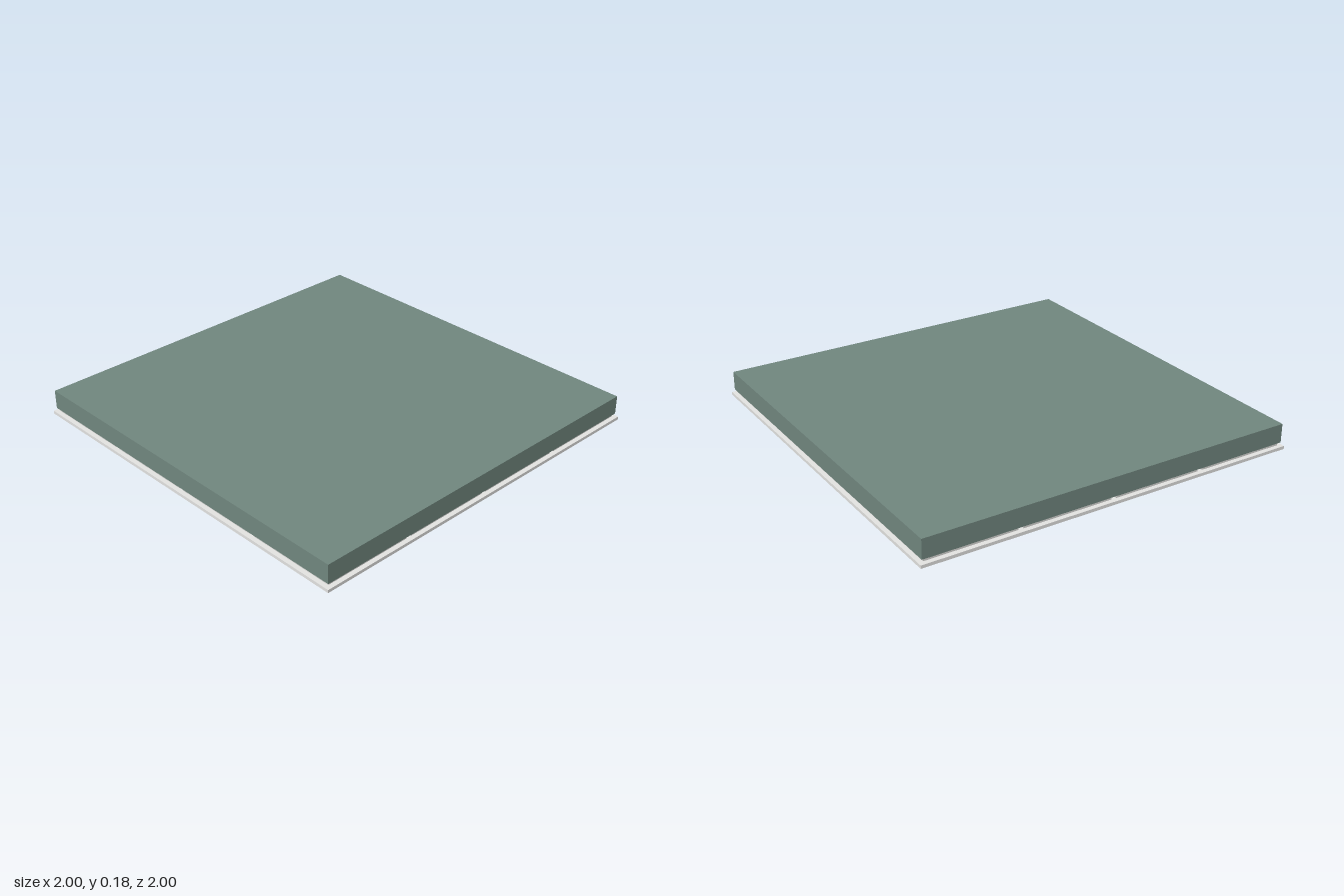
import * as THREE from 'three';

const paint = (name, color) => {
  const m = new THREE.MeshStandardMaterial({ color });
  m.name = name;
  return m;
};

export function createModel() {
  const green = paint('slabGreen', 0x71877f);
  const white = paint('railWhite', 0xe4e4e2);
  const tileWhite = paint('tileWhite', 0xd8d8d6);
  const model = new THREE.Group();
  model.name = 'ceilingPanel';

  // box spanning y0..y1, centred on x and z
  const box = (parent, name, mat, x, z, w, d, y0, y1) => {
    const mesh = new THREE.Mesh(new THREE.BoxGeometry(w, y1 - y0, d), mat);
    mesh.name = name;
    mesh.position.set(x, (y0 + y1) / 2, z);
    parent.add(mesh);
  };
  const group = (name) => {
    const g = new THREE.Group();
    g.name = name;
    model.add(g);
    return g;
  };

  // upper slab
  box(model, 'slab', green, 0, 0, 1.975, 1.975, 0.083, 0.182);

  // support grid: edge rails and crossing runners
  const grid = group('supportGrid');
  for (const s of [-1, 1]) {
    box(grid, 'edgeRail', white, s * 0.985, 0, 0.03, 2, 0.05, 0.066);
    box(grid, 'edgeRail', white, 0, s * 0.985, 1.94, 0.03, 0.05, 0.066);
  }
  for (const p of [-0.495, 0, 0.495]) {
    box(grid, 'longRunner', white, p, 0, 0.034, 1.94, 0.05, 0.066);
    const edges = [-0.97, -0.495, 0, 0.495, 0.97];
    for (let i = 0; i < 4; i++) {
      const a = edges[i] + (i > 0 ? 0.017 : 0);
      const b = edges[i + 1] - (i < 3 ? 0.017 : 0);
      box(grid, 'crossRunner', white, (a + b) / 2, p, b - a, 0.034, 0.05, 0.066);
    }
  }

  // sixteen tiles resting on the grid
  const tiles = group('tiles');
  const centres = [-0.742, -0.247, 0.247, 0.742];
  for (const x of centres) {
    for (const z of centres) box(tiles, 'tile', tileWhite, x, z, 0.468, 0.468, 0.066, 0.077);
  }

  // hanging square frame with corner posts
  const frame = group('hangingFrame');
  for (const s of [-1, 1]) {
    box(frame, 'frameBar', white, s * 0.789, 0, 0.012, 1.59, 0, 0.02);
    box(frame, 'frameBar', white, 0, s * 0.789, 1.566, 0.012, 0, 0.02);
    for (const t of [-1, 1]) box(frame, 'cornerPost', white, s * 0.789, t * 0.789, 0.01, 0.01, 0.02, 0.066);
  }
  return model;
}
